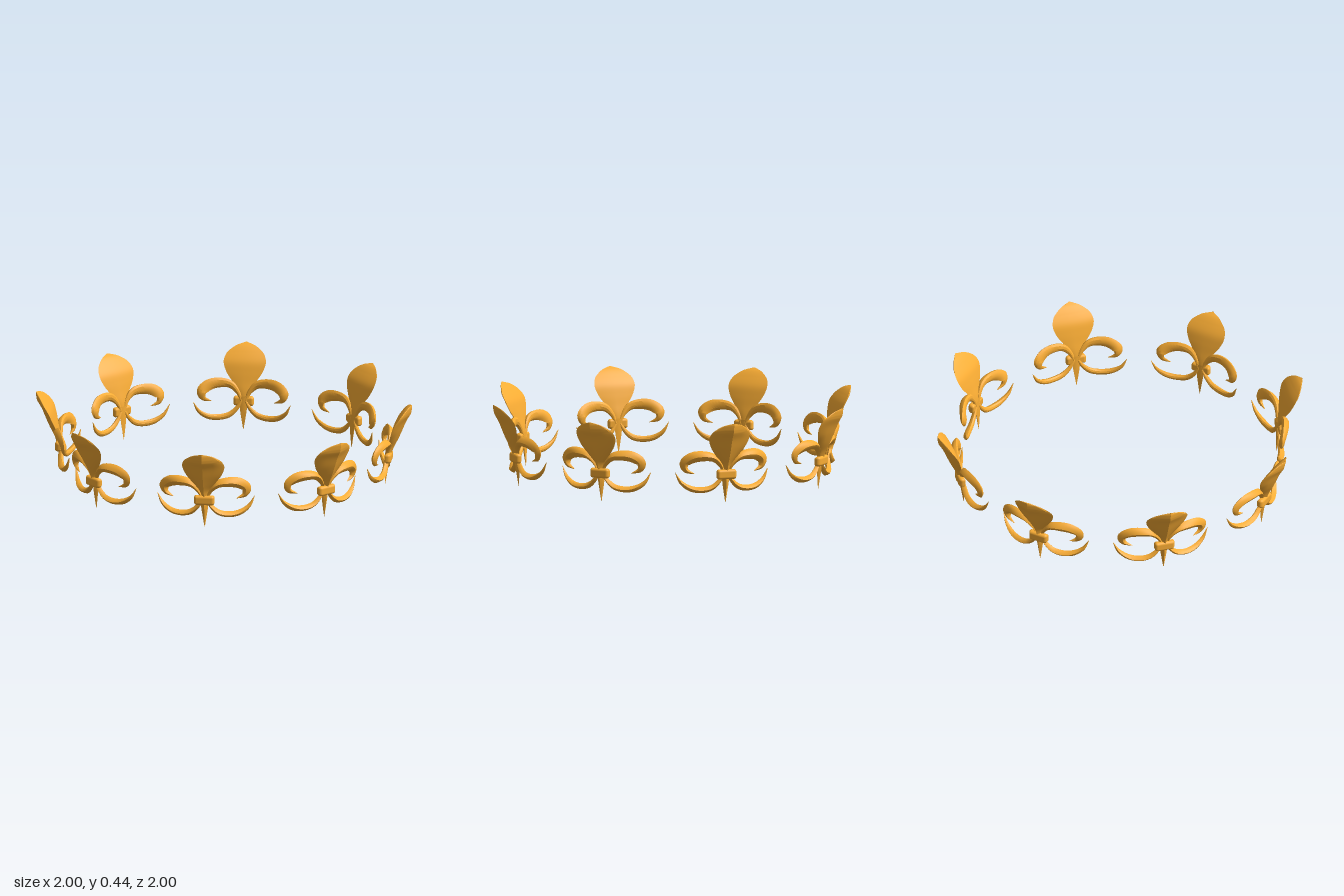
import * as THREE from 'three';
import { toCreasedNormals } from 'three/addons/utils/BufferGeometryUtils.js';
import { RoundedBoxGeometry } from 'three/addons/geometries/RoundedBoxGeometry.js';

const gold = new THREE.MeshStandardMaterial({ color: 0xfaad34, side: THREE.DoubleSide });

// Cross-sections in (width, depth): sharp rims and a raised outer ridge;
// the petal has a shallow back, the scrolls a fuller one
const PETAL = [[1, 0], [0.9, 0.2], [0.5, 0.6], [0, 1], [-0.5, 0.6], [-0.9, 0.2],
  [-1, 0], [-0.6, -0.08], [0, -0.12], [0.6, -0.08]];
const SCROLL = [[1, 0], [0.85, 0.4], [0.45, 0.8], [0, 1], [-0.45, 0.75], [-0.85, 0.3],
  [-1, 0], [-0.6, -0.3], [0, -0.42], [0.6, -0.3]];

// Sweeps a section along rows of [x, y, z, halfWidth, ridgeDepth]
function blade(name, section, rows, steps) {
  const path = new THREE.CatmullRomCurve3(rows.map(([x, y, z]) => new THREE.Vector3(x, y, z)));
  const size = new THREE.CatmullRomCurve3(rows.map(([, , , w, d], i) => new THREE.Vector3(w, d, i * 0.04)));
  const n = section.length, positions = [], index = [];
  for (let i = 0; i <= steps; i++) {
    const p = path.getPoint(i / steps), t = path.getTangent(i / steps), s = size.getPoint(i / steps);
    const len = Math.hypot(t.x, t.y) || 1;
    for (const [a, b] of section) {
      const w = a * Math.max(s.x, 0.0005);
      positions.push(p.x + (t.y / len) * w, p.y - (t.x / len) * w, p.z + b * Math.max(s.y, 0.0005));
    }
    if (i === steps) break;
    for (let j = 0; j < n; j++) {
      const a = i * n + j, b = i * n + (j + 1) % n;
      index.push(a, a + n, b, b, a + n, b + n);
    }
  }
  const geometry = new THREE.BufferGeometry();
  geometry.setAttribute('position', new THREE.Float32BufferAttribute(positions, 3));
  geometry.setIndex(index);
  const mesh = new THREE.Mesh(toCreasedNormals(geometry, 0.45), gold);
  mesh.name = name;
  return mesh;
}

// Side scrolls bow around the ring and lean outward a little
function scroll(name, side, rows) {
  return blade(name, SCROLL, rows.map(([x, y, w, d]) =>
    [side * x, y, 0.86 + 0.1 * x - 1.45 * x * x + 0.12 * (y - 0.15), w, d]), 32);
}

// Rounded clasp bent to follow the ring
function createBand() {
  const geometry = new RoundedBoxGeometry(0.108, 0.052, 0.034, 4, 0.014);
  const position = geometry.attributes.position;
  for (let i = 0; i < position.count; i++) {
    const x = position.getX(i);
    position.setZ(i, position.getZ(i) + 0.884 - 5 * x * x);
  }
  geometry.translate(0, 0.152, 0);
  const band = new THREE.Mesh(geometry, gold);
  band.name = 'band';
  return band;
}

function createLily() {
  const lily = new THREE.Group();

  // Tall centre petal, leaning outward
  lily.add(blade('centrePetal', PETAL, [
    [0, 0.14, 0.86, 0.012, 0.02],
    [0, 0.20, 0.87, 0.026, 0.03],
    [0, 0.25, 0.885, 0.06, 0.04],
    [0, 0.30, 0.90, 0.095, 0.047],
    [0, 0.35, 0.918, 0.112, 0.05],
    [0, 0.39, 0.945, 0.1, 0.046],
    [0, 0.425, 0.975, 0.054, 0.024],
    [0, 0.44, 0.997, 0.003, 0.002],
  ], 32));

  // Pointed stem below the band
  lily.add(blade('stem', PETAL, [
    [0, 0.18, 0.86, 0.016, 0.014],
    [0, 0.12, 0.858, 0.019, 0.018],
    [0, 0.06, 0.856, 0.011, 0.011],
    [0, 0, 0.855, 0.001, 0.001],
  ], 14));

  // Mirrored upper and lower scrolls
  for (const [label, side] of [['left', 1], ['right', -1]]) {
    lily.add(scroll(label + 'UpperScroll', side, [
      [0.01, 0.15, 0.007, 0.012],
      [0.03, 0.2, 0.012, 0.018],
      [0.07, 0.241, 0.021, 0.026],
      [0.125, 0.252, 0.027, 0.029],
      [0.182, 0.243, 0.03, 0.028],
      [0.217, 0.212, 0.027, 0.024],
      [0.21, 0.177, 0.015, 0.017],
      [0.166, 0.156, 0.001, 0.002],
    ]));
    lily.add(scroll(label + 'LowerScroll', side, [
      [0.01, 0.155, 0.007, 0.012],
      [0.035, 0.115, 0.011, 0.018],
      [0.075, 0.08, 0.015, 0.022],
      [0.13, 0.068, 0.016, 0.025],
      [0.185, 0.077, 0.015, 0.023],
      [0.23, 0.109, 0.01, 0.014],
      [0.258, 0.16, 0.001, 0.002],
    ]));
  }

  lily.add(createBand());
  return lily;
}

export function createModel() {
  const crown = new THREE.Group();
  crown.name = 'lilyCrown';
  // Eight lilies in a ring
  for (let i = 0; i < 8; i++) {
    const lily = createLily();
    lily.name = 'lily' + (i + 1);
    lily.rotation.y = (i * Math.PI) / 4;
    crown.add(lily);
  }
  return crown;
}
